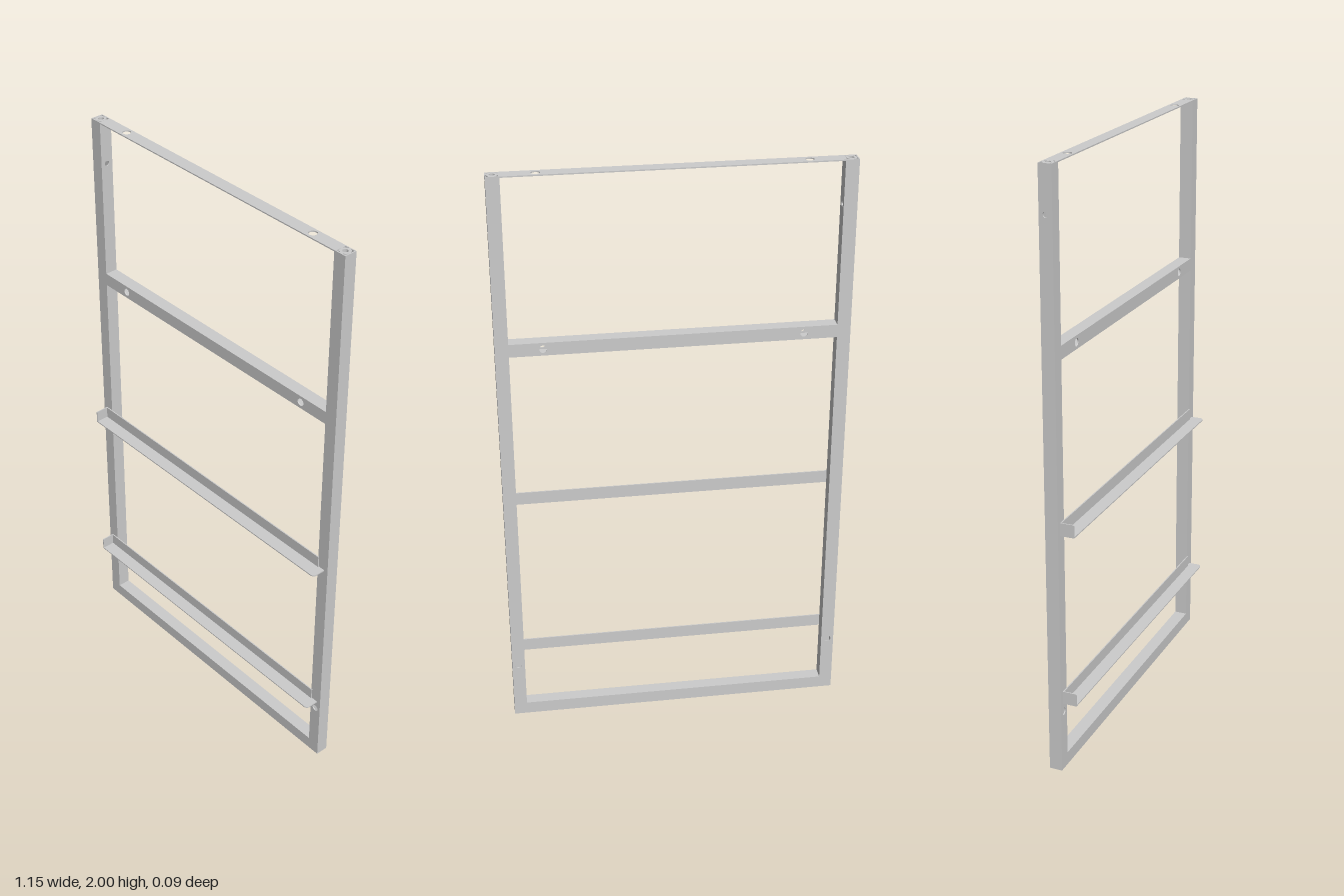
import * as THREE from 'three';

const material = new THREE.MeshStandardMaterial({ color: 0xcccccc, side: THREE.DoubleSide });
const S = 0.044;         // outside size of the square tube
const T = 0.004;         // wall thickness
const POST_X = 0.553;
const BACK = -0.046;
const FACE = BACK + S;   // front face of the frame
const MID_Z = BACK + S / 2;

function named(name, geometry) {
  const mesh = new THREE.Mesh(geometry, material);
  mesh.name = name;
  return mesh;
}

// Flat plate in XY, centred, with round holes [x, y, radius] and an optional rounded corner at +x, +y
function plate(name, w, h, holes = [], round = 0) {
  const shape = new THREE.Shape();
  shape.moveTo(-w / 2, -h / 2);
  shape.lineTo(w / 2, -h / 2);
  if (round) {
    shape.lineTo(w / 2, h / 2 - round);
    shape.absarc(w / 2 - round, h / 2 - round, round, 0, Math.PI / 2, false);
  } else shape.lineTo(w / 2, h / 2);
  shape.lineTo(-w / 2, h / 2);
  shape.closePath();
  for (const [x, y, r] of holes) {
    shape.holes.push(new THREE.Path().absarc(x, y, r, 0, Math.PI * 2, true));
  }
  const geometry = new THREE.ExtrudeGeometry(shape, { depth: T, bevelEnabled: false, curveSegments: 12 });
  geometry.translate(0, 0, -T / 2);
  return named(name, geometry);
}

// Hollow square tube along y, open at both ends
function squareTube(name, length, faceHoles = [], sideHoles = []) {
  const tube = new THREE.Group();
  tube.name = name;
  for (const s of [-1, 1]) {
    const face = plate(s > 0 ? 'frontWall' : 'backWall', S, length, faceHoles);
    face.position.z = s * (S - T) / 2;
    const side = plate('sideWall', S - 2 * T, length, sideHoles);
    side.rotation.y = Math.PI / 2;
    side.position.x = s * (S - T) / 2;
    tube.add(face, side);
  }
  return tube;
}

// Threaded insert held in the end of a post
function insert(name, y) {
  const r = S / 2 - T, inner = 0.009, h = 0.015;
  const profile = [[inner, -h], [r, -h], [r, h], [inner, h], [inner, -h]]
    .map(([x, v]) => new THREE.Vector2(x, v));
  const geometry = new THREE.LatheGeometry(profile, 24).toNonIndexed();
  geometry.computeVertexNormals();
  const mesh = named(name, geometry);
  mesh.position.y = y;
  return mesh;
}

// Angle rail: upright leg, bottom leg and a closing plate at one end
function angleRail(name, y) {
  const rail = new THREE.Group();
  rail.name = name;
  const left = -0.56, right = 0.56, D = 0.046 - FACE, H = 0.044;
  const legRight = 0.535;
  const upright = plate('uprightLeg', legRight - left, H);
  upright.position.set((left + legRight) / 2, H / 2, FACE + T / 2);
  const ledge = plate('bottomLeg', right - left, D, [], 0.014);
  ledge.rotation.x = Math.PI / 2;
  ledge.position.set(0, T / 2, FACE + D / 2);
  const end = plate('endPlate', D, H, [], 0.004);
  end.rotation.y = -Math.PI / 2;
  end.position.set(left + T / 2, H / 2, FACE + D / 2);
  rail.add(upright, ledge, end);
  rail.position.y = y;
  return rail;
}

export function createModel() {
  const model = new THREE.Group();
  model.name = 'ladderFrame';

  // Posts, with bolt holes near the foot and a cross hole high on one post
  for (const s of [-1, 1]) {
    const sideHoles = s < 0 ? [[0, 0.85, 0.009]] : [];
    const post = squareTube(s > 0 ? 'leftPost' : 'rightPost', 2, [[0, -0.79, 0.012]], sideHoles);
    post.add(insert('topInsert', 0.985), insert('bottomInsert', -0.985));
    post.position.set(s * POST_X, 1, MID_Z);
    model.add(post);
  }

  // Tube rails between the posts
  const span = 2 * POST_X - S;
  const pair = 0.422;
  const rails = [
    ['bottomRail', S / 2, []],
    ['upperRail', 1.423, [[0, -pair, 0.013], [0, pair, 0.013]]],
  ];
  for (const [name, y, holes] of rails) {
    const rail = squareTube(name, span, holes);
    rail.rotation.z = Math.PI / 2;
    rail.position.set(0, y, MID_Z);
    model.add(rail);
  }

  // Flat strip across the top
  const strip = plate('topStrip', span, S, [[-pair, 0, 0.014], [pair, 0, 0.014]]);
  strip.rotation.x = Math.PI / 2;
  strip.position.set(0, 2 - T / 2, MID_Z);
  model.add(strip);

  // Angle rails on the front
  model.add(angleRail('lowerAngleRail', 0.242), angleRail('middleAngleRail', 0.835));

  return model;
}
